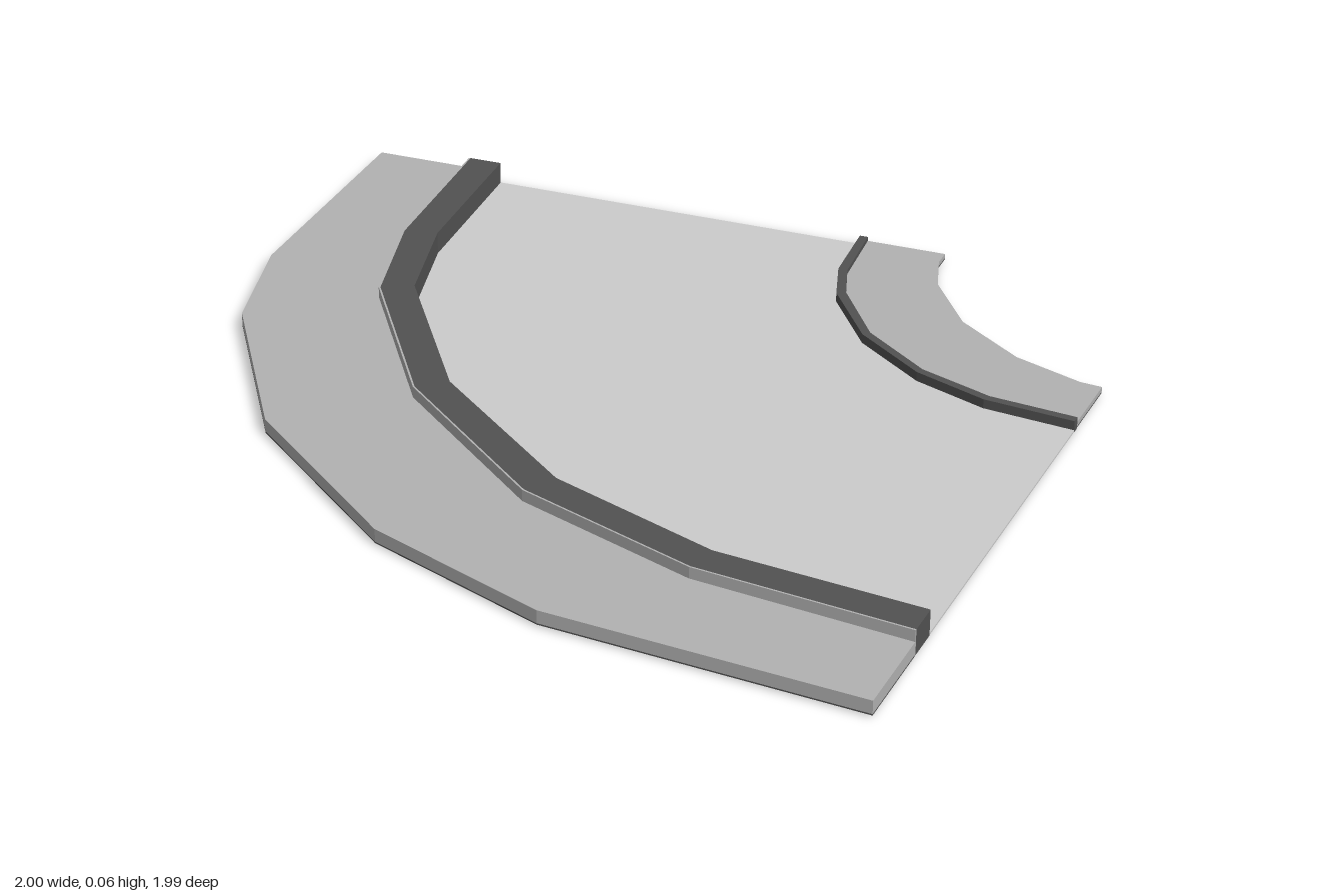
import * as THREE from 'three';

// Plan outlines as [x, z], running from the back edge round to the left edge
const outerEdge = [[-1, -1], [-0.945, -0.33], [-0.85, -0.02], [-0.545, 0.43], [-0.115, 0.77], [0.31, 0.935], [1, 0.99]];
const kerbOuter = [[-0.76, -1], [-0.705, -0.53], [-0.61, -0.22], [-0.31, 0.21], [0.1, 0.545], [0.525, 0.705], [1, 0.76]];
const kerbInner = [[-0.675, -1], [-0.625, -0.55], [-0.54, -0.26], [-0.25, 0.155], [0.14, 0.47], [0.54, 0.625], [1, 0.675]];
const stripOuter = [[0.255, -1], [0.275, -0.8], [0.318, -0.67], [0.447, -0.485], [0.62, -0.35], [0.793, -0.28], [1, -0.257]];
const stripInner = [[0.275, -1], [0.297, -0.8], [0.337, -0.682], [0.46, -0.5], [0.627, -0.368], [0.8, -0.3], [1, -0.278]];
const innerEdge = [[0.465, -1], [0.467, -0.95], [0.505, -0.83], [0.622, -0.658], [0.787, -0.53], [0.95, -0.465], [1, -0.46]];

const mat = (color) => new THREE.MeshStandardMaterial({ color });

// Outline lying a fraction t of the way from a to b
const between = (a, b, t) => a.map(([x, z], i) => [x + (b[i][0] - x) * t, z + (b[i][1] - z) * t]);

export function createModel() {
  const group = new THREE.Group();
  const light = mat(0xb2b2b2), dark = mat(0x525252), pale = mat(0xdcdadd);

  // Curved slab between two outlines, from height y0 to y1
  function band(name, a, b, y0, y1, material) {
    const points = [...a, ...[...b].reverse()].map(([x, z]) => new THREE.Vector2(x, -z));
    const geo = new THREE.ExtrudeGeometry(new THREE.Shape(points), { depth: y1 - y0, bevelEnabled: false });
    geo.rotateX(-Math.PI / 2).translate(0, y0, 0.005);
    const mesh = new THREE.Mesh(geo, material);
    mesh.name = name;
    group.add(mesh);
  }

  // Raised outer shoulder with a dark underside
  band('outerShoulder', outerEdge, kerbOuter, 0.007, 0.035, light);
  band('outerShoulderUnderside', outerEdge, kerbOuter, 0.004, 0.007, dark);

  // Tall kerb, faced in the shoulder colour on its outer side
  const facing = between(kerbOuter, kerbInner, 0.05);
  band('kerbFacing', kerbOuter, facing, 0.004, 0.06, light);
  band('kerb', facing, kerbInner, 0.004, 0.06, dark);

  // Thin road surface
  band('roadSurface', kerbInner, stripOuter, 0.005, 0.009, pale);

  // Low inner kerb and shoulder
  band('innerKerb', stripOuter, stripInner, 0.004, 0.03, dark);
  band('innerShoulder', stripInner, innerEdge, 0.009, 0.02, light);
  band('innerShoulderUnderside', stripInner, innerEdge, 0.006, 0.009, dark);

  // Three slim ribs under the road, spaced round the bend
  for (const degrees of [-27, 0, 27]) {
    const angle = Math.PI / 4 + degrees * Math.PI / 180;
    const rib = new THREE.Mesh(new THREE.BoxGeometry(0.02, 0.006, 0.27), pale);
    rib.name = 'undersideRib';
    rib.position.set(1 - 1.28 * Math.cos(angle), 0.003, -1 + 1.28 * Math.sin(angle));
    rib.rotation.y = angle;
    group.add(rib);
  }
  return group;
}
